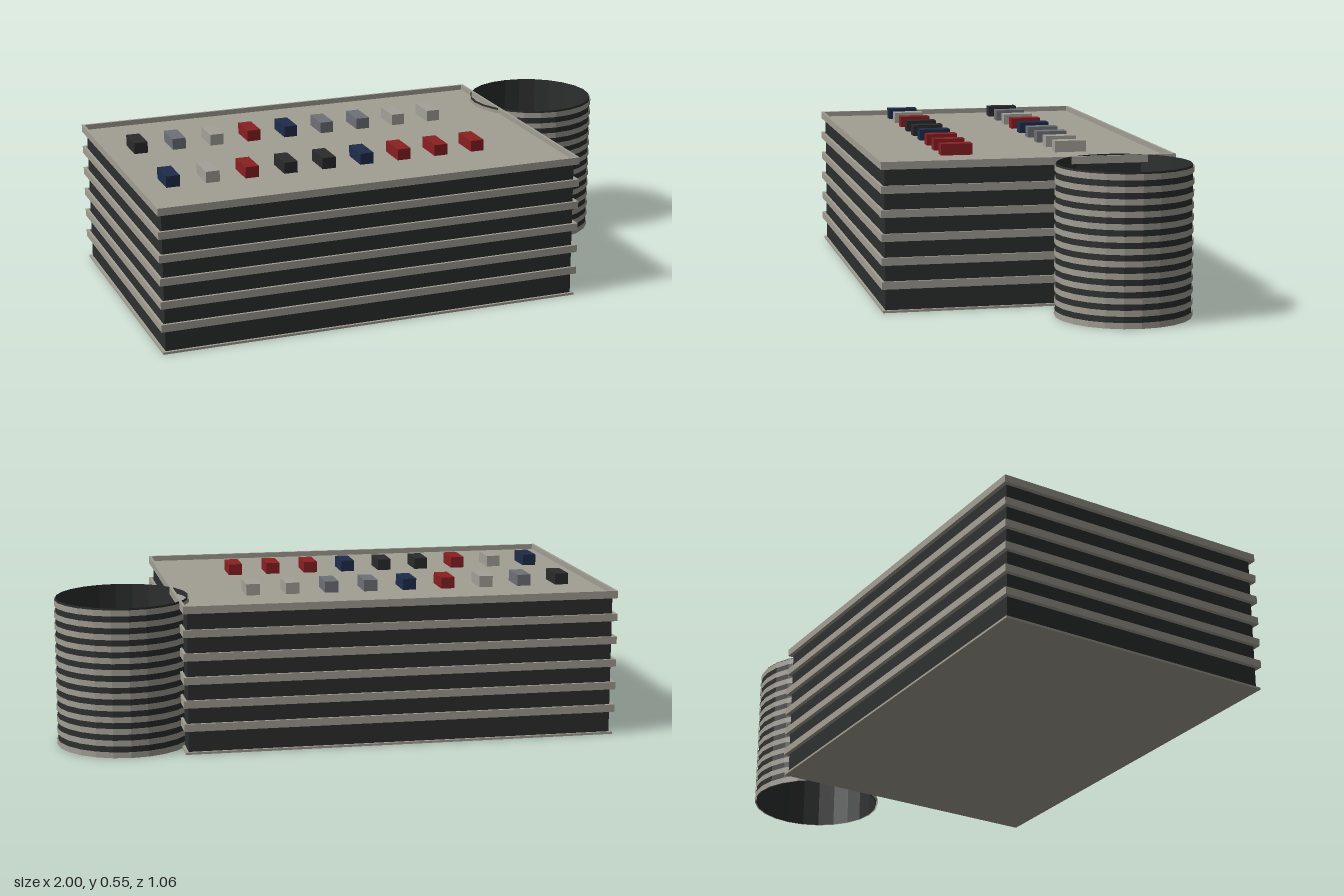
import * as THREE from 'three';

const mat = (name, color, extra = {}) => {
  const m = new THREE.MeshStandardMaterial({ color, ...extra });
  m.name = name;
  return m;
};

export function createModel() {
  const concrete = mat('concrete', 0xa29e94);
  const rampConcrete = mat('rampConcrete', 0xa29e94, { side: THREE.DoubleSide, flatShading: true });
  const dark = mat('darkWall', 0x2d2e2e);
  const rampDark = mat('rampDarkWall', 0x2d2e2e, { side: THREE.DoubleSide, flatShading: true });
  const paint = {
    K: mat('blackPaint', 0x2b2b2b),
    G: mat('greyPaint', 0x6e7178),
    W: mat('palePaint', 0xa3a199),
    R: mat('redPaint', 0x8a1f22),
    B: mat('navyPaint', 0x1f2c4a),
  };

  const model = new THREE.Group();
  model.name = 'parkingGarage';

  const box = (name, w, h, d, x, y0, z, material, parent = model) => {
    const m = new THREE.Mesh(new THREE.BoxGeometry(w, h, d), material);
    m.name = name;
    m.position.set(x, y0 + h / 2, z);
    parent.add(m);
    return m;
  };

  // Main block: decks, recessed dark walls and parapets
  const cx = -0.2135, W = 1.563, D = 1.046;
  const floorH = 0.084, slabH = 0.008, parapetH = 0.027, t = 0.01;
  for (let i = 0; i <= 6; i++) {
    const y = i * floorH;
    const level = new THREE.Group();
    level.name = 'level' + i;
    model.add(level);
    box('deck', W, slabH, D, cx, y, 0, concrete, level);
    if (i < 6) box('recessedWall', W - 0.022, floorH - slabH, D - 0.02, cx, y + slabH, 0, dark, level);
    if (i > 0) {
      for (const s of [-1, 1]) {
        box('longParapet', W + t, parapetH, t, cx, y, s * D / 2, concrete, level);
        box('endParapet', t, parapetH, D - t, cx + s * W / 2, y, 0, concrete, level);
      }
    }
  }

  // Round ramp tower: open dark drum wrapped in thin concrete bands
  const tower = new THREE.Group();
  tower.name = 'rampTower';
  tower.position.set(0.76, 0, -0.287);
  model.add(tower);
  const drum = (name, r, y0, h, material) => {
    const m = new THREE.Mesh(new THREE.CylinderGeometry(r, r, h, 24, 1, true), material);
    m.name = name;
    m.position.y = y0 + h / 2;
    tower.add(m);
  };
  drum('drumWall', 0.235, 0, 0.531, rampDark);
  for (let i = 0; i <= 12; i++) drum('rampBand', 0.24, i * 0.042, 0.021, rampConcrete);

  // Two rows of parked cars on the roof deck
  const rows = [['KGWRBGGWW', -0.21], ['BWRKKBRRR', 0.21]];
  for (const [colors, z] of rows) {
    [...colors].forEach((c, i) => {
      box('parkedCar', 0.05, 0.041, 0.115, -0.87 + i * 0.1444, 0.512, z, paint[c]);
    });
  }

  return model;
}
